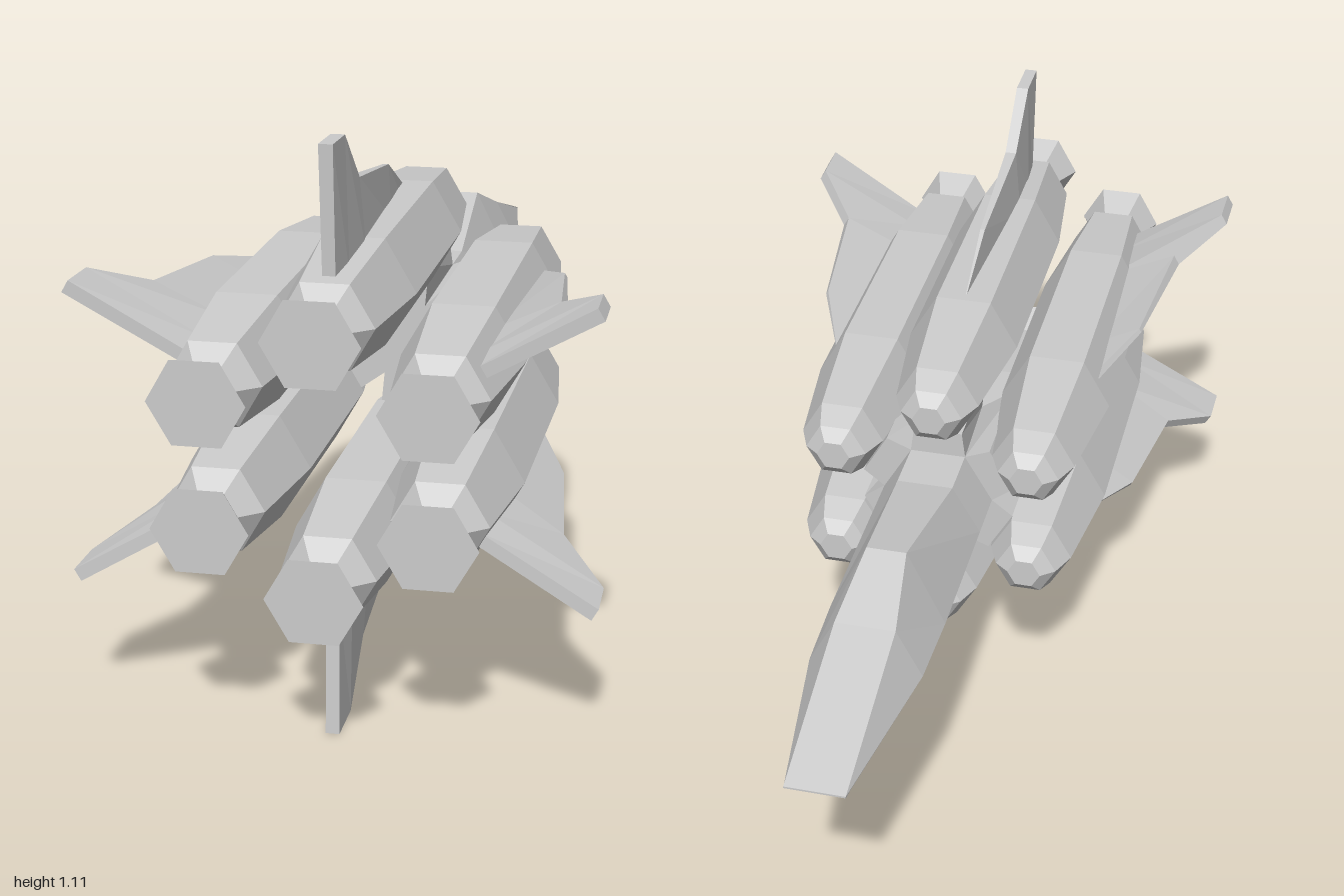
import * as THREE from 'three';

const material = new THREE.MeshStandardMaterial({ color: 0xcccccc, flatShading: true });

// Skins a list of rings running towards +z, each counter-clockwise seen from +z, and caps both ends
function loft(name, rings) {
  const pos = [];
  const tri = (...pts) => pts.forEach((p) => pos.push(...p));
  const n = rings[0].length;
  const middle = (ring) => [0, 1, 2].map((k) => ring.reduce((s, p) => s + p[k], 0) / n);
  const first = rings[0], last = rings[rings.length - 1];
  const c0 = middle(first), c1 = middle(last);
  for (let j = 0; j < n; j++) {
    const k = (j + 1) % n;
    for (let i = 0; i < rings.length - 1; i++) {
      const a = rings[i][j], b = rings[i][k], c = rings[i + 1][k], d = rings[i + 1][j];
      tri(a, b, c);
      tri(a, c, d);
    }
    tri(c0, first[k], first[j]);
    tri(c1, last[j], last[k]);
  }
  const geometry = new THREE.BufferGeometry();
  geometry.setAttribute('position', new THREE.Float32BufferAttribute(pos, 3));
  geometry.computeVertexNormals();
  const mesh = new THREE.Mesh(geometry, material);
  mesh.name = name;
  return mesh;
}

const polar = (r, degrees, z) => {
  const a = THREE.MathUtils.degToRad(degrees);
  return [r * Math.cos(a), r * Math.sin(a), z];
};

// Hexagonal nose section with a raised canopy and a flat wedge tip
function makeFuselage() {
  // z, side half-width, top height, top half-width, bottom height, bottom half-width
  const sections = [
    [-1, 0.058, 0.002, 0.058, -0.002, 0.058],
    [-0.645, 0.112, 0.1, 0.06, -0.1, 0.058],
    [-0.48, 0.117, 0.16, 0.04, -0.1, 0.058],
    [-0.17, 0.117, 0.101, 0.058, -0.101, 0.058],
    [-0.055, 0.117, 0.101, 0.058, -0.101, 0.058],
  ];
  return loft('fuselage', sections.map(([z, s, t, tw, b, bw]) => [
    [s, 0, z], [tw, t, z], [-tw, t, z], [-s, 0, z], [-bw, b, z], [bw, b, z],
  ]));
}

// Star-shaped hub whose six arms reach into the boosters
function makeHub() {
  const star = (valley, z) => {
    const ring = [];
    for (let a = 0; a < 360; a += 60) {
      ring.push(polar(valley, a, z), polar(0.165, a + 12, z), polar(0.165, a + 48, z));
    }
    return ring;
  };
  return loft('hub', [star(0.117, -0.055), star(0.085, 0.18)]);
}

// Six-sided booster body with rounded nose, pinched throat and flared nozzle
function makeBooster() {
  const profile = [
    [-0.138, 0.035], [-0.115, 0.064], [-0.06, 0.087], [0.18, 0.117],
    [0.65, 0.117], [0.885, 0.09], [0.92, 0.049], [1, 0.09],
  ];
  const booster = loft('booster', profile.map(([z, r]) =>
    [0, 60, 120, 180, 240, 300].map((a) => polar(r, a, z))));
  booster.position.y = 0.236;
  return booster;
}

// Swept fin, thickest at the root
function makeFin() {
  // root z, tip z, tip height, root half-width, tip half-width
  const sections = [
    [0.2, 0.2, 0.335, 0.001, 0.001],
    [0.36, 0.36, 0.41, 0.011, 0.005],
    [0.65, 0.65, 0.45, 0.025, 0.012],
    [0.77, 0.77, 0.553, 0.019, 0.013],
    [0.85, 0.865, 0.555, 0.012, 0.013],
  ];
  return loft('fin', sections.map(([zr, zt, h, rw, tw]) => [
    [rw, 0.3, zr], [tw, h, zt], [-tw, h, zt], [-rw, 0.3, zr],
  ]));
}

export function createModel() {
  const model = new THREE.Group();
  model.name = 'spaceship';

  const body = new THREE.Group();
  body.name = 'body';
  body.position.y = 0.555;
  body.add(makeFuselage(), makeHub());

  // Ring of six finned boosters
  const unit = new THREE.Group();
  unit.name = 'boosterUnit';
  unit.add(makeBooster(), makeFin());
  for (let i = 0; i < 6; i++) {
    const copy = unit.clone();
    copy.rotation.z = (i * Math.PI) / 3;
    body.add(copy);
  }

  model.add(body);
  return model;
}
